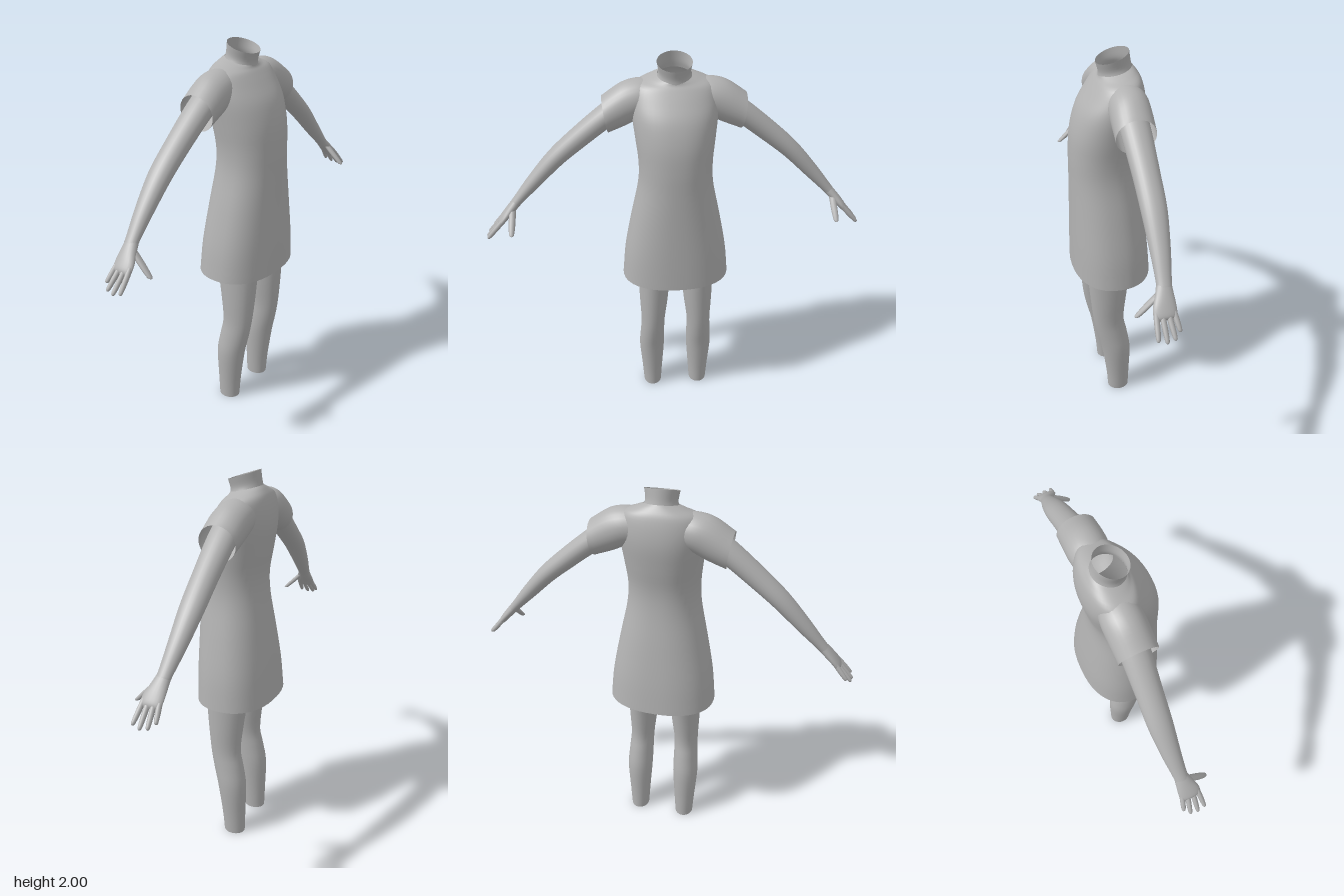
import * as THREE from 'three';

const grey = new THREE.MeshStandardMaterial({ color: 0xb2b2b2, side: THREE.DoubleSide });
grey.name = 'plain grey';

// Smooth tube through rings { c: centre, tilt, a, b, slope, power }; open at both ends
function loft(name, rings, around = 32, steps = 4) {
  const curve = (f) => new THREE.CatmullRomCurve3(rings.map((r) => new THREE.Vector3(...f(r))), false, 'catmullrom');
  const centres = curve((r) => r.c);
  const sizes = curve((r) => [r.tilt ?? 0, r.a, r.b]);
  const shapes = curve((r) => [r.slope ?? 0, r.power ?? 2, 0]);
  const rows = (rings.length - 1) * steps;
  const pos = [], index = [];
  const bend = (v, p) => Math.sign(v) * Math.abs(v) ** (2 / p);
  for (let i = 0; i <= rows; i++) {
    const c = centres.getPoint(i / rows), s = sizes.getPoint(i / rows), k = shapes.getPoint(i / rows);
    for (let j = 0; j < around; j++) {
      const t = (j / around) * Math.PI * 2;
      const u = s.y * bend(Math.cos(t), k.y), v = s.z * bend(Math.sin(t), k.y);
      pos.push(c.x + u * Math.cos(s.x), c.y + u * Math.sin(s.x) + v * k.x, c.z + v);
      if (i < rows) {
        const a = i * around + j, b = i * around + (j + 1) % around;
        index.push(a, a + around, b, b, a + around, b + around);
      }
    }
  }
  const g = new THREE.BufferGeometry();
  g.setAttribute('position', new THREE.Float32BufferAttribute(pos, 3));
  g.setIndex(index);
  g.computeVertexNormals();
  const mesh = new THREE.Mesh(g, grey);
  mesh.name = name;
  return mesh;
}

// Horizontal sections: [y, x centre, half width, front z, back z, slope, power]
const upright = (name, rows, around) => loft(name, rows.map(([y, x, a, f, b, slope = 0, power = 2]) => ({
  c: [x, y, (f + b) / 2], a, b: (f - b) / 2, slope, power })), around);

// Sections along a limb heading outwards: [x, y, z, half thickness, half depth in z]
const limb = (name, rows, around, steps, tilt) => loft(name, rows.map(([x, y, z, a, b], i) => {
  const p = rows[Math.max(i - 1, 0)], n = rows[Math.min(i + 1, rows.length - 1)];
  return { c: [x, y, z], tilt: tilt ?? Math.atan2(n[1] - p[1], n[0] - p[0]) + Math.PI / 2, a, b: -b };
}), around, steps);

// Finger with a rounded closed tip
function finger(name, from, to, r) {
  const at = (t, k) => [...from.map((v, i) => v + (to[i] - v) * t), r * k, r * k];
  return limb(name, [at(0, 1), at(0.5, 1), at(0.88, 0.8), at(0.97, 0.5), at(1, 0.02)], 10, 2);
}

function makeSide(name) {
  const side = new THREE.Group();
  side.name = name;
  side.add(limb('sleeve', [
    [0.1, 1.805, -0.045, 0.085, 0.085],
    [0.17, 1.797, -0.045, 0.093, 0.095],
    [0.24, 1.77, -0.042, 0.1, 0.096],
    [0.332, 1.722, -0.038, 0.088, 0.094],
  ], 28, 4, 1.42));
  side.add(limb('arm', [
    [0.24, 1.77, -0.045, 0.06, 0.07],
    [0.33, 1.71, -0.045, 0.056, 0.068],
    [0.46, 1.607, -0.046, 0.052, 0.062],
    [0.585, 1.5, -0.046, 0.046, 0.058],
    [0.7, 1.38, -0.04, 0.037, 0.046],
    [0.78, 1.293, -0.032, 0.027, 0.036],
    [0.81, 1.26, -0.028, 0.024, 0.034],
  ], 24));
  side.add(limb('palm', [
    [0.8, 1.27, -0.028, 0.024, 0.034],
    [0.83, 1.238, -0.022, 0.023, 0.042],
    [0.865, 1.2, -0.014, 0.02, 0.052],
    [0.89, 1.17, -0.012, 0.016, 0.05],
    [0.9, 1.158, -0.012, 0.002, 0.03],
  ], 20));
  // Four fingers fanned across the palm
  [[-0.05, -0.064, 0.938, 1.115], [-0.025, -0.037, 0.962, 1.094],
   [0.002, 0, 0.968, 1.088], [0.026, 0.038, 0.96, 1.098]].forEach(([z0, z1, x, y], i) => {
    side.add(finger('finger' + (i + 1), [0.873, 1.19, z0], [x, y, z1], 0.0125));
  });
  side.add(finger('thumb', [0.822, 1.24, 0.0], [0.83, 1.14, 0.1], 0.017));
  side.add(upright('leg', [
    [0, 0.135, 0.05, 0.038, -0.08],
    [0.12, 0.135, 0.058, 0.048, -0.083],
    [0.3, 0.135, 0.07, 0.073, -0.086],
    [0.42, 0.131, 0.067, 0.1, -0.068],
    [0.52, 0.127, 0.065, 0.118, -0.05],
    [0.66, 0.121, 0.076, 0.132, -0.062],
    [0.83, 0.115, 0.086, 0.145, -0.085],
    [0.95, 0.112, 0.09, 0.15, -0.095],
  ], 24));
  return side;
}

export function createModel() {
  const model = new THREE.Group();
  model.name = 'dressedFigure';

  // Flared dress closing over the shoulders to the neck
  model.add(upright('dress', [
    [0.83, 0, 0.28, 0.205, -0.203, 0, 2.3],
    [1.0, 0, 0.262, 0.204, -0.188, 0, 2.3],
    [1.2, 0, 0.224, 0.202, -0.162, 0, 2.25],
    [1.38, 0, 0.187, 0.201, -0.136, 0, 2.2],
    [1.5, 0, 0.181, 0.2, -0.132, 0, 2.2],
    [1.62, 0, 0.193, 0.19, -0.15, 0, 2.2],
    [1.73, 0, 0.205, 0.158, -0.164, 0, 2.2],
    [1.81, 0, 0.205, 0.108, -0.16, 0, 2.2],
    [1.87, 0, 0.185, 0.07, -0.143, -0.08, 2.2],
    [1.897, 0, 0.125, 0.054, -0.122, -0.18, 2.1],
    [1.912, 0, 0.082, 0.05, -0.106, -0.24, 2],
  ], 48));

  // Open neck with a rim sloping down to the front
  model.add(upright('neck', [
    [1.9, 0, 0.084, 0.052, -0.108, -0.24],
    [1.93, 0, 0.076, 0.052, -0.1, -0.28],
    [1.975, 0, 0.083, 0.063, -0.092, -0.33],
  ], 32));

  const left = makeSide('leftLimbs'), right = makeSide('rightLimbs');
  right.scale.x = -1;
  model.add(left, right);
  return model;
}
